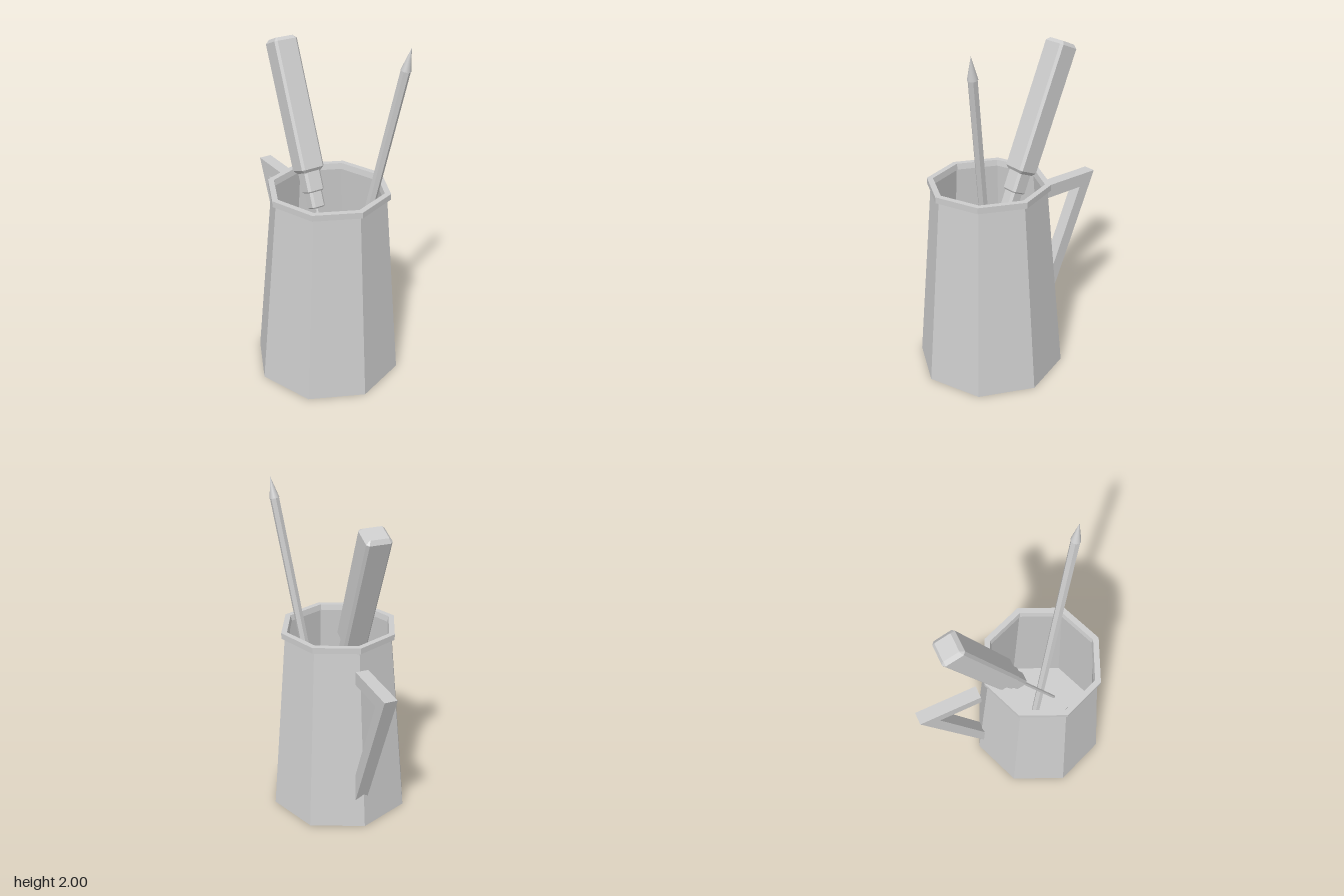
import * as THREE from 'three';

const grey = new THREE.MeshStandardMaterial({ color: 0xcccccc, flatShading: true });
grey.name = 'grey';
const smoothGrey = grey.clone();
smoothGrey.flatShading = false;

function add(parent, name, geometry, material = grey) {
  const mesh = new THREE.Mesh(geometry, material);
  mesh.name = name;
  parent.add(mesh);
  return mesh;
}

// Eight-sided turned form, slightly twisted about the upright axis
function octagon(points) {
  return new THREE.LatheGeometry(points.map(([r, y]) => new THREE.Vector2(r, y)), 8, -0.035);
}

// Upright bar with cut corners and bevelled ends, from y0 to y1
function chamferedBar(width, depth, y0, y1, corner, bevel) {
  const w = width / 2, d = depth / 2, c = corner;
  const outline = [[w, c - d], [w, d - c], [w - c, d], [c - w, d], [-w, d - c], [-w, c - d], [c - w, -d], [w - c, -d]];
  const shape = new THREE.Shape(outline.map(([x, y]) => new THREE.Vector2(x, y)));
  const geometry = new THREE.ExtrudeGeometry(shape, {
    depth: y1 - y0 - 2 * bevel, bevelThickness: bevel, bevelSize: bevel, bevelOffset: -bevel, bevelSegments: 1,
  });
  return geometry.rotateX(-Math.PI / 2).translate(0, y0 + bevel, 0);
}

export function createModel() {
  const model = new THREE.Group();
  model.name = 'toolMug';

  // Mug: tapered hollow body and overhanging rim
  const mug = new THREE.Group();
  mug.name = 'mug';
  mug.position.z = 0.17;
  model.add(mug);
  add(mug, 'outerWall', octagon([[0, 0], [0.435, 0], [0.334, 1.13]]));
  add(mug, 'innerWall', octagon([[0.322, 1.13], [0.415, 0.04], [0, 0.04]]));
  add(mug, 'rim', octagon([[0.322, 1.13], [0.354, 1.13], [0.354, 1.165], [0.319, 1.165], [0.312, 1.13], [0.322, 1.13]]));

  // Angular handle behind the mug, drawn as (distance back, height)
  const profile = [[0.225, 0.175], [0.6, 1.045], [0.222, 1.045], [0.222, 0.965], [0.485, 0.965], [0.225, 0.36]];
  const handle = new THREE.ExtrudeGeometry(
    new THREE.Shape(profile.map(([z, y]) => new THREE.Vector2(z, y))), { depth: 0.076, bevelEnabled: false });
  handle.rotateY(Math.PI / 2).translate(-0.015, 0, 0);
  add(model, 'mugHandle', handle);

  // Screwdriver leaning back
  const driver = new THREE.Group();
  driver.name = 'screwdriver';
  driver.position.set(0.01, 1.164, -0.052);
  driver.rotation.x = -0.4;
  model.add(driver);
  add(driver, 'grip', chamferedBar(0.146, 0.135, 0, 0.78, 0.014, 0.02));
  add(driver, 'upperCollar', chamferedBar(0.106, 0.1, -0.118, 0.03, 0.014, 0.008));
  add(driver, 'lowerCollar', chamferedBar(0.084, 0.084, -0.214, -0.1, 0.014, 0.008));
  add(driver, 'shaft', new THREE.CylinderGeometry(0.01, 0.01, 0.68, 8).translate(0, -0.53, 0));

  // Pencil leaning forward to the model's left, standing on the mug floor
  const foot = new THREE.Vector3(0.045, 0.04, 0.17);
  const tip = new THREE.Vector3(0.284, 2, 0.485);
  const along = tip.clone().sub(foot);
  const length = along.length(), point = 0.125;
  const pencil = new THREE.Group();
  pencil.name = 'pencil';
  pencil.position.copy(foot);
  pencil.quaternion.setFromUnitVectors(new THREE.Vector3(0, 1, 0), along.normalize());
  model.add(pencil);
  add(pencil, 'pencilBody', new THREE.CylinderGeometry(0.027, 0.027, length - point, 6).translate(0, (length - point) / 2, 0));
  add(pencil, 'pencilPoint', new THREE.ConeGeometry(0.028, point, 20).translate(0, length - point / 2, 0), smoothGrey);

  return model;
}
